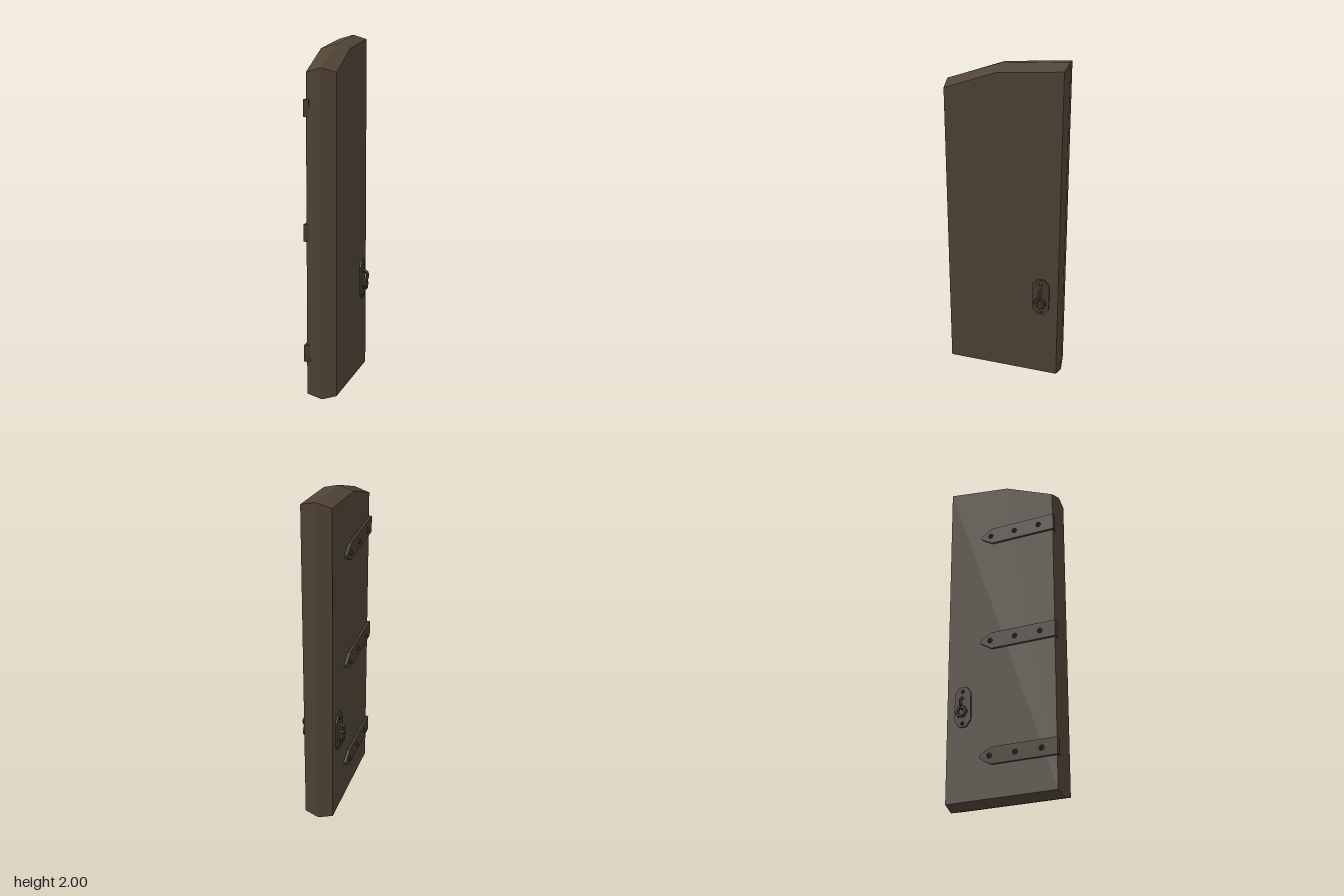
import * as THREE from 'three';

const mat = (name, color) => {
  const m = new THREE.MeshStandardMaterial({ color, flatShading: true });
  m.name = name;
  return m;
};

export function createModel() {
  const face = mat('door wood', 0x4f4536);
  const rim = mat('door edge wood', 0x514436);
  const iron = mat('dark iron', 0x463d32);
  const door = new THREE.Group();
  door.name = 'door';

  const add = (parent, name, geometry, material, x = 0, y = 0, z = 0) => {
    const mesh = new THREE.Mesh(geometry, material);
    mesh.name = name;
    mesh.position.set(x, y, z);
    parent.add(mesh);
    return mesh;
  };
  const polygon = (pts) => new THREE.Shape(pts.map(([a, b]) => new THREE.Vector2(a, b)));
  const plate = (pts, depth) =>
    new THREE.ExtrudeGeometry(polygon(pts), { depth, bevelEnabled: false });
  const triangles = (pts) => {
    const g = new THREE.BufferGeometry();
    g.setAttribute('position', new THREE.Float32BufferAttribute(pts.flat(), 3));
    g.computeVertexNormals();
    return g;
  };
  // pyramid stud pointing along +x
  const stud = (r, h) => new THREE.ConeGeometry(r, h, 6).rotateZ(-Math.PI / 2).translate(h / 2, 0, 0);

  // slab: flat faces inside a ridged perimeter, outlines given as [z, y]
  const ridge = [[0.337, 0], [0.337, 1.83], [0.04, 1.95], [-0.342, 2], [-0.342, 0]];
  const inset = [[0.331, 0.024], [0.331, 1.806], [0.04, 1.927], [-0.331, 1.975], [-0.331, 0.024]];
  const at = (x, [z, y]) => [x, y, z];
  for (const [side, x] of [['left', 0.082], ['right', -0.087]]) {
    const edge = [], cap = [];
    const tri = (list, a, b, c) => list.push(...(x > 0 ? [a, b, c] : [a, c, b]));
    for (let i = 0; i < 5; i++) {
      const j = (i + 1) % 5;
      const a = at(x, inset[i]), b = at(x, inset[j]), c = at(0, ridge[j]), d = at(0, ridge[i]);
      tri(edge, a, b, c);
      tri(edge, a, c, d);
      if (i > 0 && i < 4) tri(cap, at(x, inset[0]), b, a);
    }
    add(door, side + 'Edge', triangles(edge), rim);
    add(door, side + 'Face', triangles(cap), face);
  }

  // pointed strap hinges, each with three studs
  for (const y of [1.615, 0.937, 0.258]) {
    const hinge = new THREE.Group();
    hinge.name = 'hinge';
    hinge.position.y = y;
    door.add(hinge);
    const strap = plate([[0.339, -0.048], [0.339, 0.048], [-0.053, 0.048], [-0.12, 0.008], [-0.12, -0.008], [-0.053, -0.048]], 0.033);
    add(hinge, 'strap', strap.rotateY(-Math.PI / 2), iron, -0.069);
    for (const z of [-0.06, 0.093, 0.247])
      add(hinge, 'hingeStud', stud(0.017, 0.018), iron, -0.102, 0, z).rotation.y = Math.PI;
  }

  // back plate, staple and hanging ring on both faces
  for (const [side, x, turn] of [['left', 0.082, 0], ['right', -0.087, Math.PI]]) {
    const handle = new THREE.Group();
    handle.name = side + 'Handle';
    handle.position.set(x, 0.567, -0.23);
    handle.rotation.y = turn;
    door.add(handle);
    const outline = [[-0.05, -0.08], [-0.022, -0.118], [0.022, -0.118], [0.05, -0.08],
      [0.05, 0.08], [0.022, 0.118], [-0.022, 0.118], [-0.05, 0.08]];
    add(handle, 'backPlate', plate(outline, 0.01).rotateY(Math.PI / 2), iron);
    for (const y of [0.09, -0.097]) add(handle, 'plateStud', stud(0.012, 0.014), iron, 0.01, y);
    const path = new THREE.CatmullRomCurve3(
      [[0.005, 0.055], [0.037, 0.036], [0.037, 0.005], [0.005, -0.015]].map(([a, b]) => new THREE.Vector3(a, b, 0)),
      false, 'catmullrom', 0);
    add(handle, 'staple', new THREE.TubeGeometry(path, 9, 0.01, 4), iron);
    add(handle, 'ring', new THREE.TorusGeometry(0.028, 0.011, 6, 6).rotateY(Math.PI / 2), iron, 0.025, -0.032);
  }
  return door;
}
